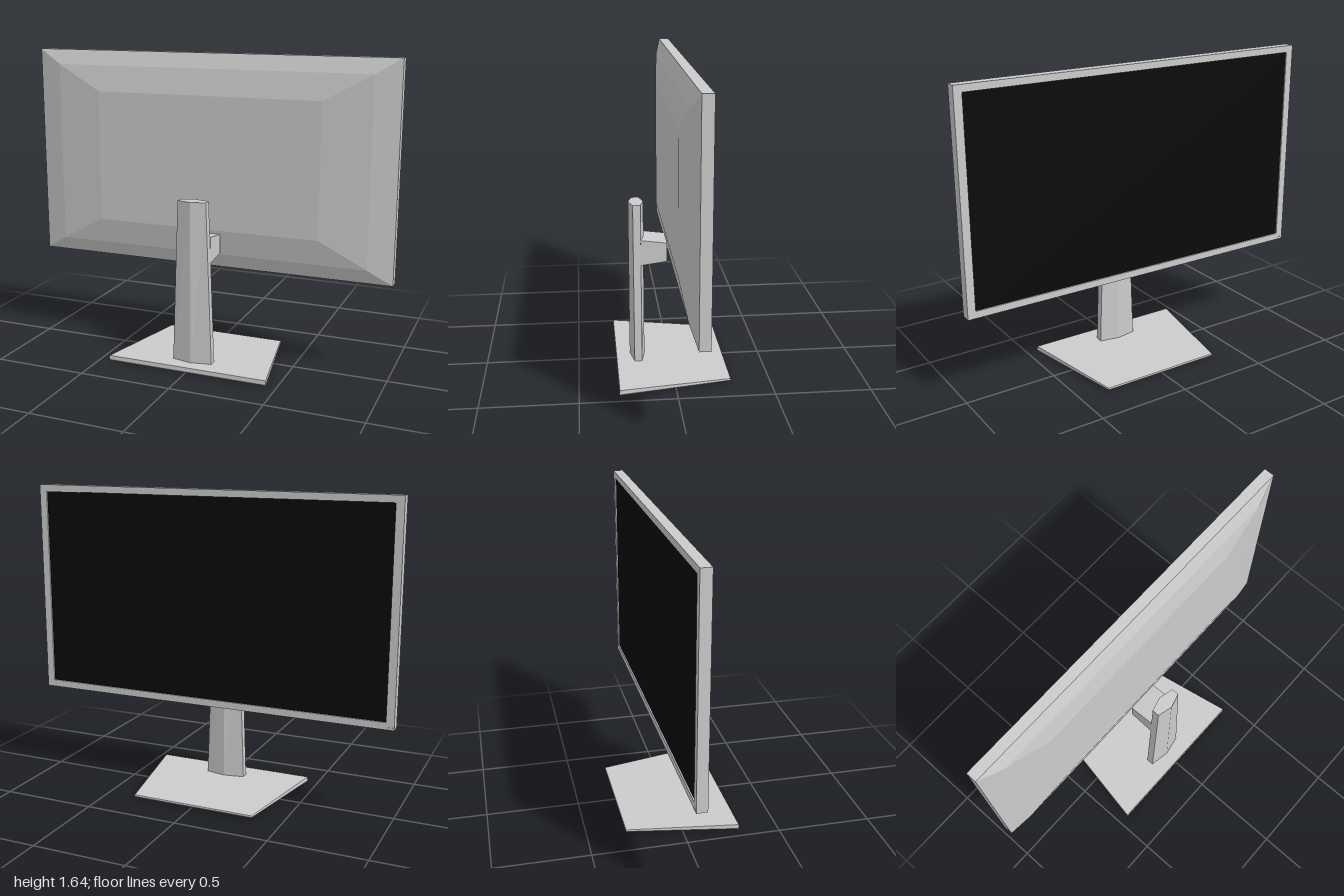
import * as THREE from 'three';

const grey = new THREE.MeshStandardMaterial({ color: 0xcccccc, flatShading: true });
const black = new THREE.MeshStandardMaterial({ color: 0x0a0a0a });

// Skins a list of rings (same point count, counter-clockwise seen from the last ring) with flat faces
function loft(rings, capStart = true, capEnd = true) {
  const pos = [];
  const tri = (a, b, c) => pos.push(...a, ...b, ...c);
  const n = rings[0].length;
  for (let r = 0; r < rings.length - 1; r++) {
    const a = rings[r], b = rings[r + 1];
    for (let i = 0; i < n; i++) {
      const j = (i + 1) % n;
      tri(a[i], a[j], b[j]);
      tri(a[i], b[j], b[i]);
    }
  }
  const first = rings[0], last = rings[rings.length - 1];
  for (let i = 1; i < n - 1; i++) {
    if (capStart) tri(first[0], first[i + 1], first[i]);
    if (capEnd) tri(last[0], last[i], last[i + 1]);
  }
  const geo = new THREE.BufferGeometry();
  geo.setAttribute('position', new THREE.Float32BufferAttribute(pos, 3));
  geo.computeVertexNormals();
  return geo;
}

// Upright rectangle at depth z
const rect = (w, y0, y1, z) => [[-w, y0, z], [w, y0, z], [w, y1, z], [-w, y1, z]];

// Trapezoid slab outline, with separate heights at its front and rear edges
const slab = (inset, yFront, yRear) => {
  const f = 0.445 - inset, b = 0.34 - inset, z = 0.295 - inset;
  return [[-f, yFront, z], [f, yFront, z], [b, yRear, -z], [-b, yRear, -z]];
};

// Hexagonal column outline
const hexagon = (w, y) => [
  [-w, y, 0.197], [0, y, 0.218], [w, y, 0.197],
  [w, y, 0.157], [0, y, 0.137], [-w, y, 0.157],
];

export function createModel() {
  const group = new THREE.Group();
  const add = (name, geo, mat = grey) => {
    const mesh = new THREE.Mesh(geo, mat);
    mesh.name = name;
    group.add(mesh);
    return mesh;
  };

  // Housing: recessed bezel, straight rim, then two slopes up to the flat panel
  add('displayHousing', loft([
    rect(0.958, 0.535, 1.6, -0.084),
    rect(0.958, 0.535, 1.6, -0.091),
    rect(1, 0.498, 1.636, -0.091),
    rect(1, 0.498, 1.636, -0.036),
    rect(0.87, 0.575, 1.557, -0.006),
    rect(0.62, 0.71, 1.42, 0.018),
  ], false));

  // Screen, facing -z
  const screen = add('screen', new THREE.PlaneGeometry(1.916, 1.065), black);
  screen.rotation.y = Math.PI;
  screen.position.set(0, 1.0675, -0.084);

  // Small power button at the lower corner of the bezel
  add('powerButton', new THREE.BoxGeometry(0.03, 0.008, 0.006)).position.set(-0.98, 0.508, -0.091);

  // Bracket joining column and housing
  add('bracket', loft([
    rect(0.088, 0.59, 0.692, 0.018),
    rect(0.088, 0.57, 0.71, 0.157),
  ]));

  // Tapered column
  add('standColumn', loft([hexagon(0.11, 0.015), hexagon(0.078, 0.9)]));

  // Wedge-shaped foot with a bevelled underside
  add('standBase', loft([slab(0.006, 0, 0), slab(0, 0.007, 0.007), slab(0.002, 0.03, 0.015)]));

  return group;
}
